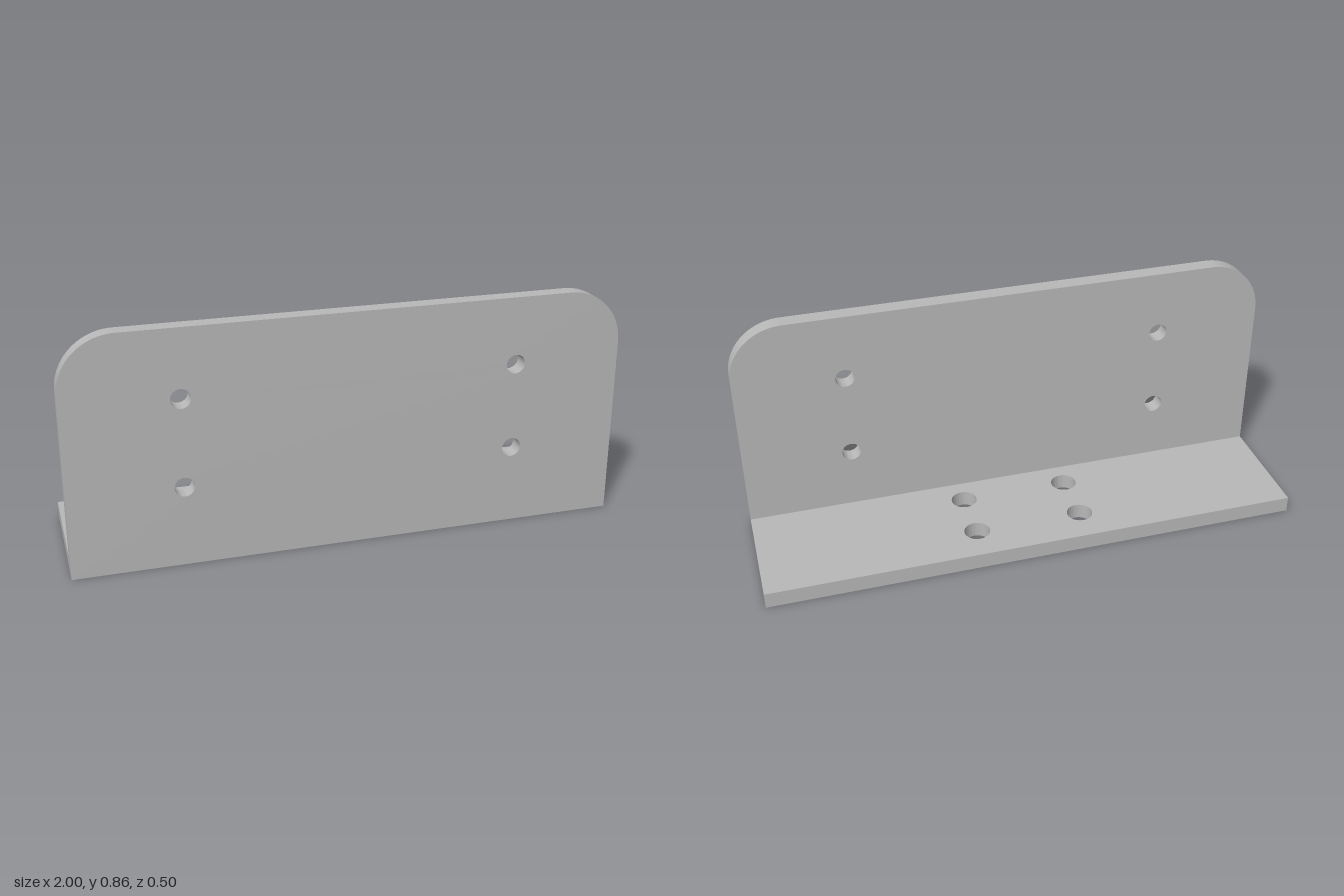
import * as THREE from 'three';
import { toCreasedNormals } from 'three/addons/utils/BufferGeometryUtils.js';

const WIDTH = 2, HEIGHT = 0.86, DEPTH = 0.5, THICK = 0.06, CORNER = 0.2;

// Extrudes a drilled plate, smooth round the curves and sharp at the edges
function plate(shape, holes, radius) {
  for (const [x, y] of holes) {
    shape.holes.push(new THREE.Path().absarc(x, y, radius, 0, Math.PI * 2, true));
  }
  const geometry = new THREE.ExtrudeGeometry(shape, { depth: THICK, bevelEnabled: false, curveSegments: 24 });
  return toCreasedNormals(geometry, Math.PI / 6);
}

// Four hole centres, mirrored in x
const pairs = (x, ys) => ys.flatMap((y) => [[-x, y], [x, y]]);

export function createModel() {
  const group = new THREE.Group();
  group.name = 'angleBracket';
  const steel = new THREE.MeshStandardMaterial({ color: 0xb8b8b8 });
  steel.name = 'greySteel';
  const w = WIDTH / 2;

  // Upright plate with rounded top corners
  const upright = new THREE.Shape();
  upright.moveTo(-w, 0);
  upright.lineTo(w, 0);
  upright.lineTo(w, HEIGHT - CORNER);
  upright.absarc(w - CORNER, HEIGHT - CORNER, CORNER, 0, Math.PI / 2, false);
  upright.lineTo(-w + CORNER, HEIGHT);
  upright.absarc(-w + CORNER, HEIGHT - CORNER, CORNER, Math.PI / 2, Math.PI, false);
  upright.closePath();
  const uprightPlate = new THREE.Mesh(plate(upright, pairs(0.6, [0.293, 0.613]), 0.035), steel);
  uprightPlate.name = 'uprightPlate';
  uprightPlate.position.z = DEPTH / 2 - THICK;
  group.add(uprightPlate);

  // Base flange behind the upright, drawn flat with shape y = -z
  const front = THICK - DEPTH / 2, back = DEPTH / 2;
  const base = new THREE.Shape();
  base.moveTo(-w, front);
  base.lineTo(w, front);
  base.lineTo(w, back);
  base.lineTo(-w, back);
  base.closePath();
  const baseFlange = new THREE.Mesh(plate(base, pairs(0.2, [-0.087, 0.113]), 0.048), steel);
  baseFlange.name = 'baseFlange';
  baseFlange.rotation.x = -Math.PI / 2;
  group.add(baseFlange);

  return group;
}
